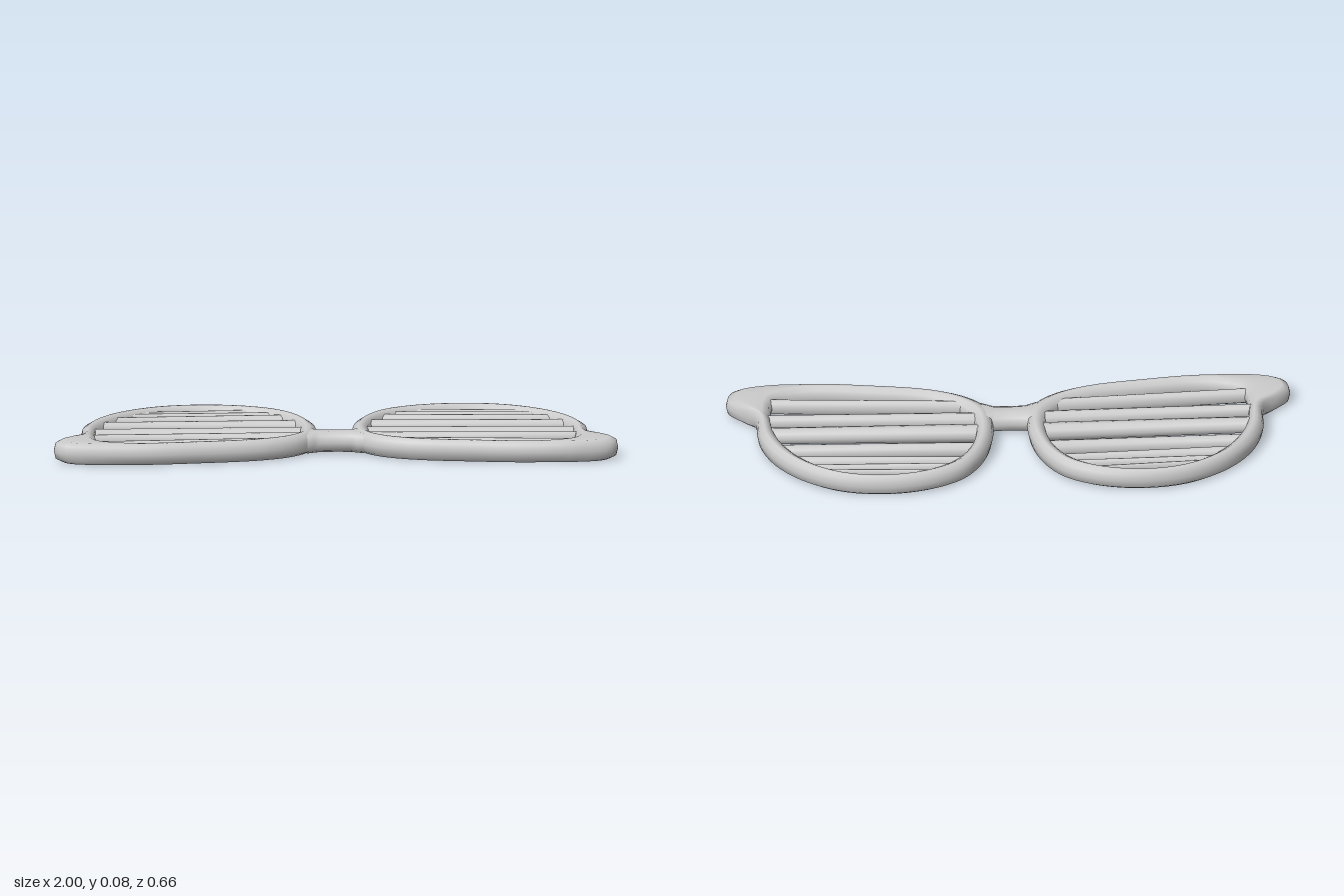
import * as THREE from 'three';

const HEIGHT = 0.077;

// Matched stations round one lens: outer x, outer z, inner x, inner z
const RIM = [
  [0.06, 0.055, 0.125, 0.04], [0.07, -0.05, 0.13, -0.04],
  [0.11, -0.16, 0.155, -0.125], [0.18, -0.25, 0.215, -0.205],
  [0.30, -0.31, 0.32, -0.262], [0.46, -0.33, 0.465, -0.288],
  [0.62, -0.305, 0.60, -0.265], [0.755, -0.23, 0.715, -0.195],
  [0.85, -0.12, 0.79, -0.105], [0.895, 0, 0.835, 0],
  [0.905, 0.13, 0.847, 0.10], [0.965, 0.18, 0.845, 0.16],
  [1.0, 0.225, 0.84, 0.195], [0.98, 0.28, 0.82, 0.235],
  [0.87, 0.315, 0.77, 0.257], [0.685, 0.325, 0.67, 0.267],
  [0.49, 0.305, 0.49, 0.25], [0.26, 0.265, 0.30, 0.22],
  [0.14, 0.21, 0.19, 0.17], [0.075, 0.14, 0.14, 0.11],
];

// Slats: inner end x, back z, front z, then outer end x, back z, front z
const SLATS = [
  [0.27, -0.275, -0.257, 0.68, -0.25, -0.235],
  [0.22, -0.24, -0.21, 0.72, -0.225, -0.20],
  [0.175, -0.205, -0.165, 0.78, -0.175, -0.14],
  [0.12, -0.125, -0.07, 0.83, -0.105, -0.06],
  [0.105, -0.02, 0.05, 0.86, 0, 0.055],
  [0.11, 0.065, 0.125, 0.87, 0.10, 0.13],
  [0.155, 0.155, 0.20, 0.87, 0.205, 0.235],
];

// Rounded bar swept through stations that each span point a to point b
function sweep(stations, { closed = false, y0 = 0, y1 = HEIGHT, side = 1 } = {}) {
  const pos = [], index = [], n = 10;
  for (const [ax, az, bx, bz] of stations) {
    const w = Math.hypot(bx - ax, bz - az);
    const c = Math.min(0.03, w * 0.4) / w;
    const ring = [
      [0, 0.5], [0.22 * c, 0.85], [c, 1], [1 - c, 1], [1 - 0.22 * c, 0.85],
      [1, 0.5], [1 - 0.22 * c, 0.15], [1 - c, 0], [c, 0], [0.22 * c, 0.15],
    ];
    for (const [t, h] of ring) {
      pos.push(side * (ax + (bx - ax) * t), y0 + (y1 - y0) * h, az + (bz - az) * t);
    }
  }
  const count = stations.length;
  for (let i = 0; i < (closed ? count : count - 1); i++) {
    for (let j = 0; j < n; j++) {
      const k = (i + 1) % count, m = (j + 1) % n;
      const a = i * n + j, b = i * n + m, c = k * n + m, d = k * n + j;
      if (side > 0) index.push(a, b, d, b, c, d);
      else index.push(a, d, b, b, d, c);
    }
  }
  const geo = new THREE.BufferGeometry();
  geo.setAttribute('position', new THREE.Float32BufferAttribute(pos, 3));
  geo.setIndex(index);
  geo.computeVertexNormals();
  return geo;
}

// Smooth the rim stations with matching closed curves
function rimStations(samples) {
  const curve = (o) => new THREE.CatmullRomCurve3(
    RIM.map((r) => new THREE.Vector3(r[o], 0, r[o + 1])), true);
  const outer = curve(0), inner = curve(2);
  return Array.from({ length: samples }, (_, i) => {
    const a = outer.getPoint(i / samples), b = inner.getPoint(i / samples);
    return [a.x, a.z, b.x, b.z];
  });
}

export function createModel() {
  const model = new THREE.Group();
  model.name = 'shutterGlasses';
  const plastic = new THREE.MeshStandardMaterial({ color: 0xcccccc });
  plastic.name = 'lightGreyPlastic';

  const add = (parent, name, geo) => {
    const mesh = new THREE.Mesh(geo, plastic);
    mesh.name = name;
    parent.add(mesh);
  };

  const rim = rimStations(80);
  for (const side of [1, -1]) {
    const lens = new THREE.Group();
    lens.name = side > 0 ? 'leftLens' : 'rightLens';
    model.add(lens);

    // Rim with its flared hinge corner
    add(lens, 'rim', sweep(rim, { closed: true, side }));

    // Shutter slats, ends buried in the rim
    for (const [x0, a0, b0, x1, a1, b1] of SLATS) {
      add(lens, 'slat', sweep([[x0, a0, x0, b0], [x1, a1, x1, b1]],
        { y0: 0.01, y1: 0.067, side }));
    }
  }

  // Nose bridge, flaring into both rims
  const bridge = [-0.1, -0.075, -0.055, 0, 0.055, 0.075, 0.1].map((x) => {
    const flare = Math.max(0, Math.abs(x) - 0.05);
    return [x, 0.06 - flare * 0.6, x, 0.152 + flare * 0.5];
  });
  add(model, 'bridge', sweep(bridge, { y0: 0.002, y1: 0.075 }));

  return model;
}
